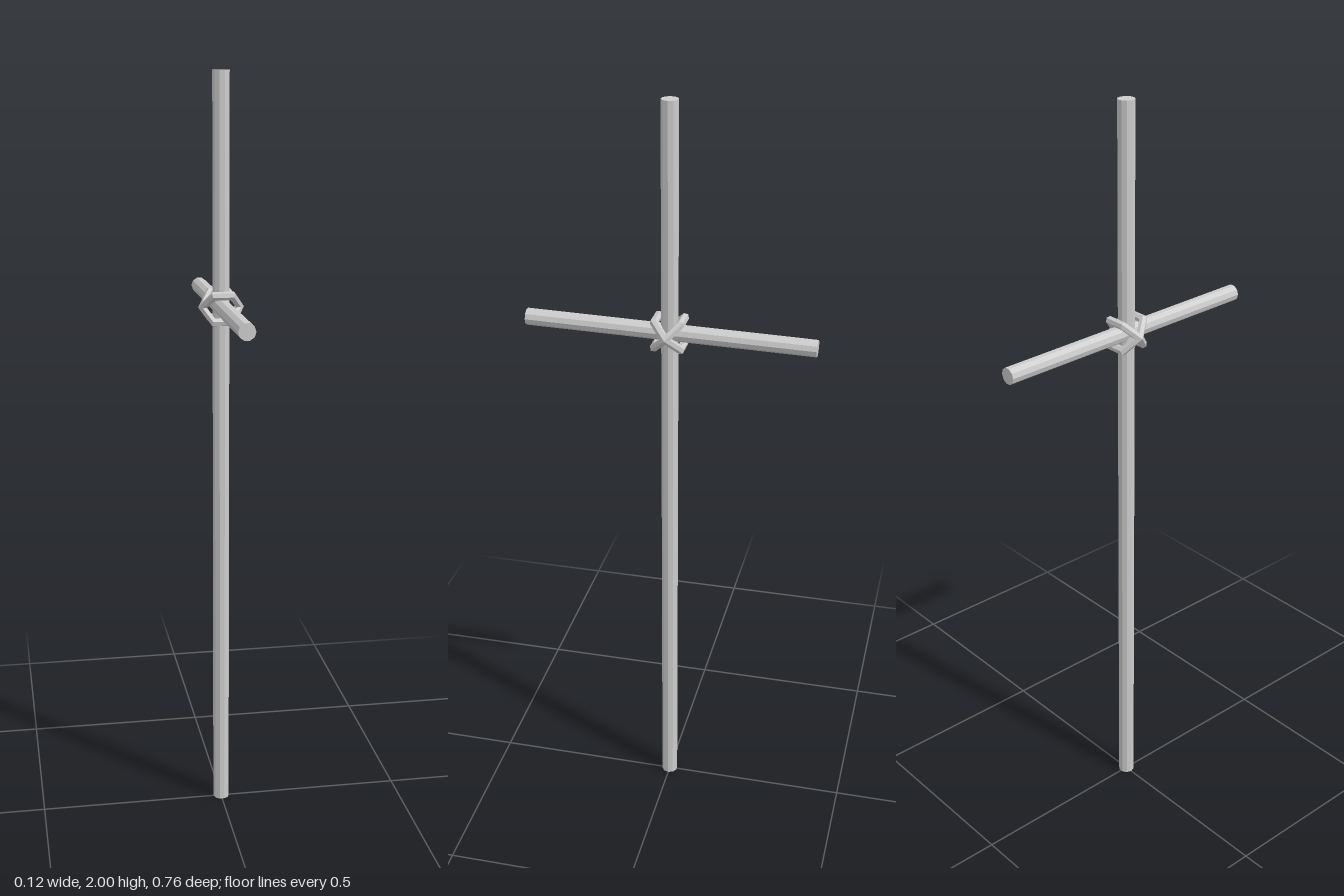
import * as THREE from 'three';

const material = new THREE.MeshStandardMaterial({ color: 0xcccccc, flatShading: true });

// Ten-sided rod along y, with a corner on +x
function rod(name, length) {
  const geometry = new THREE.CylinderGeometry(0.022, 0.022, length, 10, 1, false, Math.PI / 2);
  const mesh = new THREE.Mesh(geometry, material);
  mesh.name = name;
  return mesh;
}

export function createModel() {
  const group = new THREE.Group();
  group.name = 'lashedCross';

  // Upright pole
  const pole = rod('pole', 2);
  pole.position.y = 1;
  group.add(pole);

  // Crossbar, slightly raised at the front
  const bar = rod('crossbar', 0.755);
  bar.position.y = 1.408;
  bar.rotation.x = Math.PI / 2 - 0.02;
  group.add(bar);

  // Two diagonal hexagonal lashings crossing at the joint
  const ring = new THREE.TorusGeometry(0.049, 0.011, 6, 6);
  ring.scale(1, 1.13, 1);
  for (const side of [-1, 1]) {
    const lashing = new THREE.Mesh(ring, material);
    lashing.name = side < 0 ? 'lashingA' : 'lashingB';
    lashing.position.set(0, 1.407, 0.001);
    lashing.rotation.x = side * Math.PI / 4;
    group.add(lashing);
  }
  return group;
}
